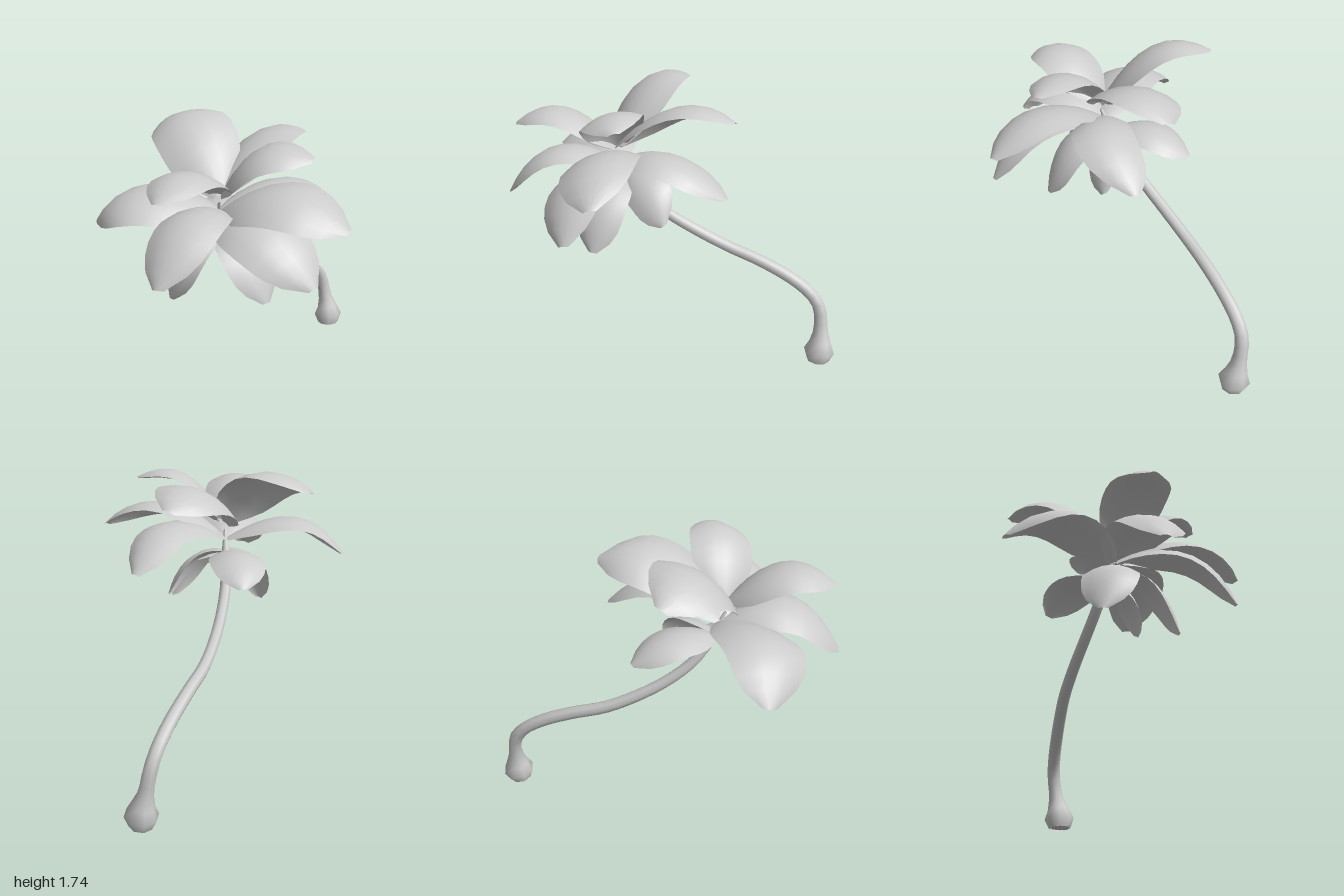
import * as THREE from 'three';
import { mergeVertices } from 'three/addons/utils/BufferGeometryUtils.js';

const V = (p) => new THREE.Vector3(...p);
const material = new THREE.MeshStandardMaterial({ color: 0xcccccc, side: THREE.DoubleSide });

// Relative half width of a leaf from its stalk to its blunt tip
const OUTLINE = [0.22, 0.58, 0.84, 0.96, 1, 1, 0.96, 0.86, 0.63, 0.17];

// A broad leaf arching from base through mid to tip, its edges drooping.
// It lies square to the axis of its tier, then rolls about its own length.
function leafGeometry(axis, base, mid, tip, width, roll = 0) {
  const b = V(base), m = V(mid), t = V(tip);
  const control = m.clone().multiplyScalar(2).addScaledVector(b, -0.5).addScaledVector(t, -0.5);
  const curve = new THREE.QuadraticBezierCurve3(b, control, t);
  const along = t.clone().sub(b).normalize();
  const side = V(axis).cross(along).normalize().applyAxisAngle(along, roll);
  const rows = OUTLINE.length - 1, cols = 6;
  const geometry = new THREE.PlaneGeometry(1, 1, cols, rows);
  const pos = geometry.attributes.position;
  for (let i = 0; i <= rows; i++) {
    const s = i / rows;
    const centre = curve.getPointAt(s);
    const normal = curve.getTangentAt(s).cross(side).normalize();
    const half = OUTLINE[i] * width / 2;
    for (let j = 0; j <= cols; j++) {
      const u = (j / cols) * 2 - 1;
      const p = centre.clone().addScaledVector(side, u * half)
        .addScaledVector(normal, -0.32 * half * u * u);
      pos.setXYZ(i * (cols + 1) + j, p.x, p.y, p.z);
    }
  }
  geometry.computeVertexNormals();
  return geometry;
}

// Leaning trunk with a bulbous foot
function buildTrunk() {
  const group = new THREE.Group();
  group.name = 'trunk';
  const curve = new THREE.CatmullRomCurve3([
    [-0.275, 0.01, -0.9], [-0.285, 0.1, -0.905], [-0.305, 0.2, -0.9], [-0.328, 0.36, -0.875],
    [-0.33, 0.45, -0.81], [-0.325, 0.54, -0.68], [-0.315, 0.63, -0.48], [-0.3, 0.7, -0.28],
    [-0.26, 0.8, -0.08], [-0.21, 0.91, 0.09], [-0.16, 1.03, 0.22], [-0.11, 1.18, 0.31],
    [-0.07, 1.32, 0.37],
  ].map(V));
  const rings = 32, sides = 8;
  const foot = [0.07, 0.096, 0.068, 0.049];
  let tube = new THREE.TubeGeometry(curve, rings, 1, sides);
  const pos = tube.attributes.position;
  const p = new THREE.Vector3();
  for (let i = 0; i <= rings; i++) {
    const centre = curve.getPointAt(i / rings);
    const taper = Math.min(1, (rings - i + 1) / 4);
    const radius = foot[i] ?? (0.043 - 0.012 * i / rings) * taper;
    for (let j = 0; j <= sides; j++) {
      const k = i * (sides + 1) + j;
      p.fromBufferAttribute(pos, k).sub(centre).multiplyScalar(radius).add(centre);
      pos.setXYZ(k, p.x, Math.max(0, p.y), p.z);
    }
  }
  // Weld the seam so the trunk shades smoothly all round
  tube.deleteAttribute('uv');
  tube.deleteAttribute('normal');
  tube = mergeVertices(tube);
  tube.computeVertexNormals();
  const stem = new THREE.Mesh(tube, material);
  stem.name = 'stem';
  const sole = new THREE.Mesh(new THREE.CircleGeometry(0.066, sides), material);
  sole.name = 'footCap';
  sole.rotation.x = Math.PI / 2;
  sole.position.set(-0.275, 0.012, -0.9);
  group.add(stem, sole);
  return group;
}

export function createModel() {
  const model = new THREE.Group();
  model.name = 'palm';
  model.add(buildTrunk());

  // Three tiers of leaves: [mid, tip, width, roll]; the upper two lean forward
  const tiers = {
    upperLeaf: { axis: [-0.1, 1, 0.3], base: [-0.06, 1.37, 0.36], leaves: [
      [[-0.37, 1.7, 0.28], [-0.7, 1.65, 0.17], 0.46],
      [[0.17, 1.65, 0.3], [0.43, 1.63, 0.16], 0.37],
      [[-0.11, 1.64, -0.01], [-0.11, 1.58, -0.35], 0.45, -0.15],
      [[0.01, 1.59, 0.66], [0.08, 1.5, 0.94], 0.37, -0.15],
    ] },
    middleLeaf: { axis: [-0.1, 1, 0.3], base: [-0.08, 1.27, 0.36], leaves: [
      [[0.1, 1.41, -0.01], [0.1, 1.2, -0.37], 0.36],
      [[0.34, 1.46, 0.31], [0.7, 1.3, 0.19], 0.45],
      [[0.34, 1.3, 0.45], [0.64, 1.03, 0.39], 0.42],
      [[-0.4, 1.38, 0.66], [-0.7, 1.17, 0.74], 0.46],
      [[0.05, 1.36, 0.72], [0.12, 1.07, 1], 0.4, -0.08],
    ] },
    lowerLeaf: { axis: [0, 1, 0], base: [-0.1, 1.19, 0.33], leaves: [
      [[-0.12, 1.11, 0.59], [-0.17, 0.81, 0.67], 0.32],
      [[0.15, 1.12, 0.38], [0.3, 0.83, 0.38], 0.32],
      [[0.05, 1.17, 0.14], [0.11, 0.98, 0], 0.27, 0.7],
      [[-0.29, 1.25, 0.12], [-0.43, 1.12, -0.07], 0.32],
    ] },
  };
  for (const [name, { axis, base, leaves }] of Object.entries(tiers)) {
    leaves.forEach((leafSpec, i) => {
      const leaf = new THREE.Mesh(leafGeometry(axis, base, ...leafSpec), material);
      leaf.name = `${name}${i + 1}`;
      model.add(leaf);
    });
  }
  return model;
}
